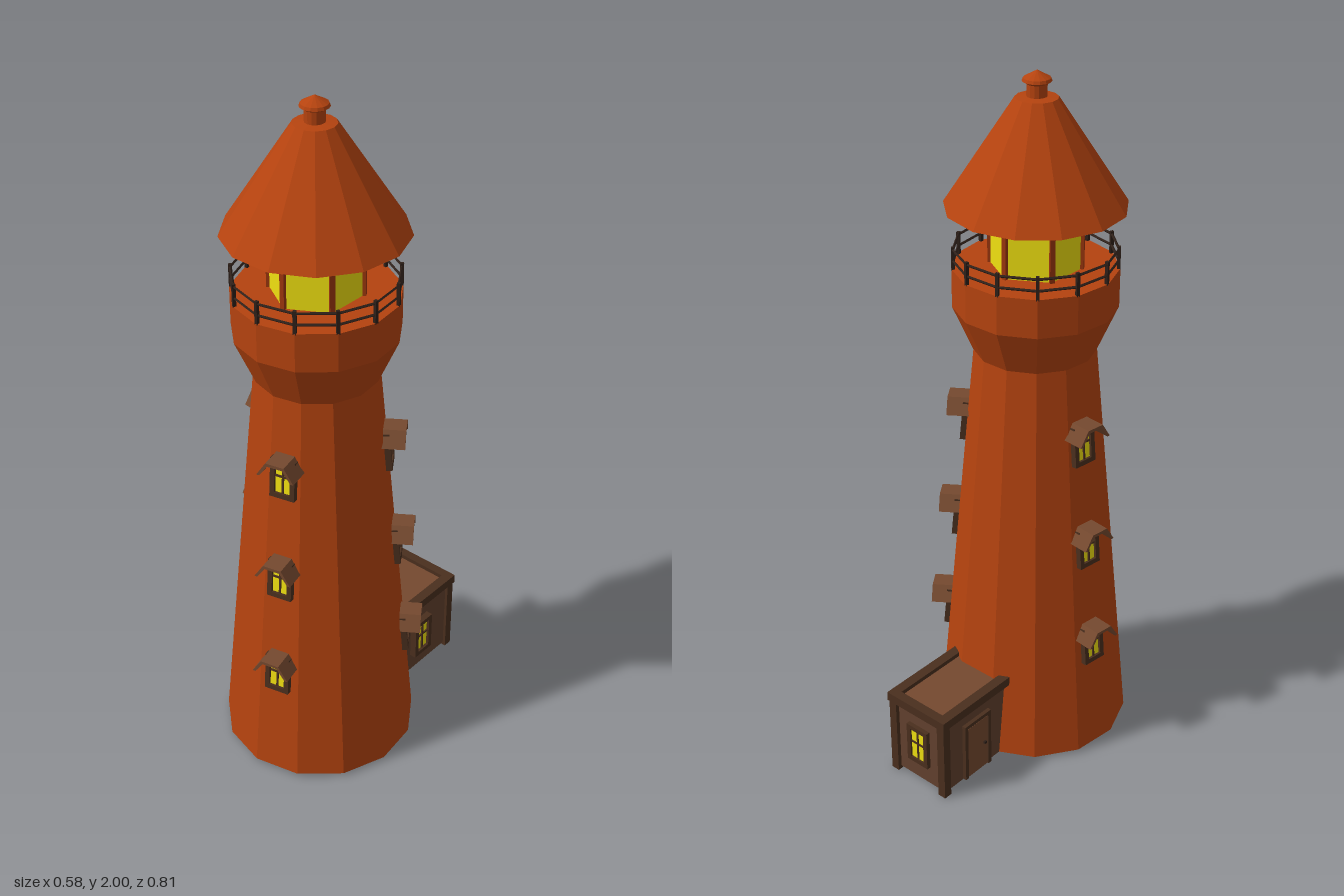
import * as THREE from 'three';

const SIDES = 13;
const STEP = (Math.PI * 2) / SIDES;
const AXIS_Z = 0.11; // tower axis

const paint = (color) => new THREE.MeshStandardMaterial({ color, flatShading: true });
const red = paint(0xb5430f);
const redTrim = paint(0x9a350c);
const yellow = paint(0xf0e010);
const brown = paint(0x75492f);
const wallBrown = paint(0x63412e);
const darkBrown = paint(0x4a2f1e);
const iron = paint(0x2e2019);

function add(parent, name, geometry, material, x = 0, y = 0, z = 0) {
  const mesh = new THREE.Mesh(geometry, material);
  mesh.name = name;
  mesh.position.set(x, y, z);
  parent.add(mesh);
  return mesh;
}

const box = (parent, name, w, h, d, material, x, y, z) =>
  add(parent, name, new THREE.BoxGeometry(w, h, d), material, x, y, z);

const lathe = (profile, sides, start = 0) =>
  new THREE.LatheGeometry(profile.map(([r, y]) => new THREE.Vector2(r, y)), sides, start);

// Framed window facing +z, its back on z = 0
function makeWindow(w, h, depth, border) {
  const g = new THREE.Group();
  g.name = 'window';
  const bar = border * 0.4;
  box(g, 'glass', w - border, h - border, depth * 0.6, yellow, 0, 0, depth * 0.3);
  for (const s of [-1, 1]) {
    box(g, 'frameSide', border, h, depth, darkBrown, s * (w - border) / 2, 0, depth / 2);
    box(g, 'frameRail', w - border * 2, border, depth, darkBrown, 0, s * (h - border) / 2, depth / 2);
  }
  box(g, 'mullion', bar, h - border * 2, depth * 0.8, darkBrown, 0, 0, depth * 0.4);
  box(g, 'crossbar', w - border * 2, bar, depth * 0.8, darkBrown, 0, h * 0.05, depth * 0.4);
  return g;
}

// Small three-sided canopy over a tower window
function makeCanopy() {
  const s = new THREE.Shape();
  s.moveTo(-0.055, 0);
  s.lineTo(-0.027, 0.044);
  s.lineTo(0.027, 0.044);
  s.lineTo(0.055, 0);
  s.lineTo(0.046, 0);
  s.lineTo(0.022, 0.035);
  s.lineTo(-0.022, 0.035);
  s.lineTo(-0.046, 0);
  s.closePath();
  return new THREE.ExtrudeGeometry(s, { depth: 0.072, bevelEnabled: false });
}

function makeTower() {
  const tower = new THREE.Group();
  tower.name = 'tower';
  add(tower, 'shaft', lathe([
    [0, 0.01], [0.283, 0.01], [0.17, 1.23], [0.226, 1.36], [0.226, 1.47], [0, 1.47],
  ], SIDES), red);

  // Three columns of windows, each centred on one face of the shaft
  const tilt = Math.atan((0.283 - 0.17) / 1.22);
  const canopy = makeCanopy();
  for (const face of [0, 4, 9]) {
    for (const y of [0.36, 0.68, 1.0]) {
      const bay = new THREE.Group();
      bay.name = 'windowBay';
      bay.rotation.y = (face + 0.5) * STEP;
      const wallAt = (h) => (0.283 - (h - 0.01) * Math.tan(tilt)) * Math.cos(STEP / 2);
      const win = makeWindow(0.074, 0.118, 0.019, 0.014);
      win.position.set(0, y, wallAt(y) - 0.002);
      win.rotation.x = -tilt;
      bay.add(win);
      add(bay, 'canopy', canopy, brown, 0, y + 0.027, wallAt(y) - 0.016);
      tower.add(bay);
    }
  }

  // Lantern room with corner posts
  add(tower, 'lanternGlass', new THREE.CylinderGeometry(0.125, 0.125, 0.18, 6), yellow, 0, 1.555, 0);
  for (let i = 0; i < 6; i++) {
    const a = (i * Math.PI) / 3;
    const post = box(tower, 'lanternPost', 0.014, 0.18, 0.014, redTrim,
      Math.sin(a) * 0.123, 1.555, Math.cos(a) * 0.123);
    post.rotation.y = a;
  }

  // Gallery railing
  for (const y of [1.493, 1.525]) {
    const ring = new THREE.TorusGeometry(0.221, 0.004, 4, SIDES);
    ring.rotateZ(Math.PI / 2).rotateX(Math.PI / 2);
    add(tower, 'rail', ring, iron, 0, y, 0);
  }
  for (let i = 0; i < SIDES; i++) {
    const a = i * STEP;
    const post = box(tower, 'railPost', 0.009, 0.066, 0.009, iron,
      Math.sin(a) * 0.221, 1.5, Math.cos(a) * 0.221);
    post.rotation.y = a;
  }

  // Roof and finial
  add(tower, 'roof', lathe([[0, 1.64], [0.246, 1.64], [0.057, 1.93], [0, 1.935]], SIDES, STEP / 2), red);
  add(tower, 'finial', lathe([
    [0.027, 1.925], [0.027, 1.965], [0.039, 1.972], [0.036, 1.98], [0, 2.0],
  ], 14), red);
  tower.position.z = AXIS_Z;
  return tower;
}

function makeAnnex() {
  const annex = new THREE.Group();
  annex.name = 'annex';
  box(annex, 'walls', 0.194, 0.247, 0.285, wallBrown, 0, 0.1335, -0.2425);
  box(annex, 'flatRoof', 0.18, 0.008, 0.25, brown, 0, 0.259, -0.25);

  // Corner posts and roof rim
  for (const s of [-1, 1]) {
    box(annex, 'cornerPost', 0.026, 0.255, 0.026, darkBrown, s * 0.093, 0.1275, -0.384);
    box(annex, 'rimSide', 0.03, 0.028, 0.285, darkBrown, s * 0.095, 0.262, -0.2575);
  }
  box(annex, 'rimBack', 0.22, 0.028, 0.028, darkBrown, 0, 0.262, -0.386);

  // Windows on the left and back walls
  const side = makeWindow(0.078, 0.128, 0.022, 0.014);
  side.position.set(0.096, 0.135, -0.24);
  side.rotation.y = Math.PI / 2;
  const back = makeWindow(0.078, 0.128, 0.014, 0.014);
  back.position.set(0, 0.135, -0.384);
  back.rotation.y = Math.PI;
  annex.add(side, back);

  // Door on the right wall
  const door = new THREE.Group();
  door.name = 'door';
  box(door, 'doorLeaf', 0.086, 0.176, 0.008, brown, 0, 0.1, 0.004);
  for (const s of [-1, 1]) box(door, 'doorJamb', 0.012, 0.19, 0.012, darkBrown, s * 0.049, 0.107, 0.006);
  box(door, 'doorLintel', 0.11, 0.012, 0.012, darkBrown, 0, 0.2, 0.006);
  box(door, 'doorKnob', 0.008, 0.008, 0.008, iron, 0.03, 0.1, 0.01);
  door.position.set(-0.097, 0, -0.255);
  door.rotation.y = -Math.PI / 2;
  annex.add(door);

  annex.position.x = 0.005;
  return annex;
}

export function createModel() {
  const model = new THREE.Group();
  model.name = 'lighthouse';
  model.add(makeTower(), makeAnnex());
  return model;
}
